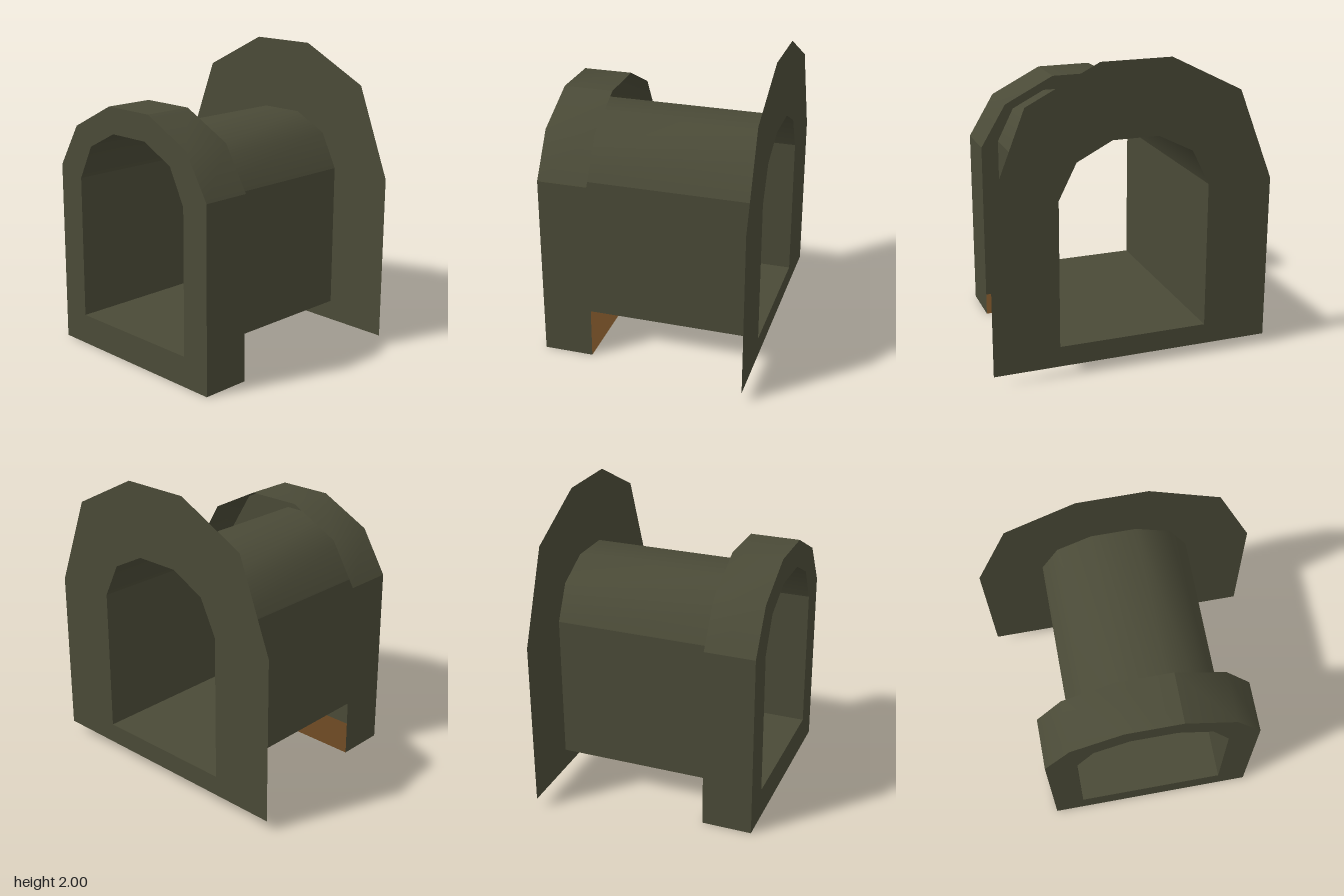
import * as THREE from 'three';

const BACK = -0.705, RIM = 0.375, FRONT = 0.705;

// Half outlines from the bottom corner up to the crown, on the +x side
const BORE = [[0.495, 0.205], [0.495, 1.17], [0.38, 1.4], [0.15, 1.517]];
const COLLAR = [[0.697, 0], [0.697, 1.23], [0.525, 1.517], [0.185, 1.69]];
const PLATE = [[0.928, 0.07], [0.928, 1.168], [0.697, 1.763], [0.23, 2]];

// Full outline, counterclockwise from the +x bottom corner
const mirrored = (half) => [...half, ...half.map(([x, y]) => [-x, y]).reverse()];

// Thin sheet swept along z over a run of outline points, smooth within the run
function sheet(points, z0, z1) {
  const positions = [], index = [];
  points.forEach(([x, y], i) => {
    positions.push(x, y, z0, x, y, z1);
    if (i < points.length - 1) {
      const a = i * 2;
      index.push(a, a + 2, a + 1, a + 1, a + 2, a + 3);
    }
  });
  const geometry = new THREE.BufferGeometry();
  geometry.setAttribute('position', new THREE.Float32BufferAttribute(positions, 3));
  geometry.setIndex(index);
  geometry.computeVertexNormals();
  return geometry;
}

// Flat arched face with the tunnel opening cut out
function archFace(half, z) {
  const toVectors = (h) => mirrored(h).map(([x, y]) => new THREE.Vector2(x, y));
  const shape = new THREE.Shape(toVectors(half));
  shape.holes.push(new THREE.Path(toVectors(BORE).reverse()));
  return new THREE.ShapeGeometry(shape).translate(0, 0, z);
}

export function createModel() {
  const olive = new THREE.MeshStandardMaterial({ color: 0x4a4a37, side: THREE.DoubleSide });
  olive.name = 'olive';
  const brown = new THREE.MeshStandardMaterial({ color: 0x64431f, side: THREE.DoubleSide });
  brown.name = 'brown';

  const model = new THREE.Group();
  model.name = 'archedTunnel';
  const add = (name, geometry, material = olive) => {
    const mesh = new THREE.Mesh(geometry, material);
    mesh.name = name;
    model.add(mesh);
  };

  // Tunnel: straight walls, rounded vault and floor
  const bore = mirrored(BORE);
  add('tunnelLeftWall', sheet(bore.slice(0, 2), BACK, FRONT));
  add('tunnelVault', sheet(bore.slice(1, 7), BACK, FRONT));
  add('tunnelRightWall', sheet(bore.slice(6, 8), BACK, FRONT));
  add('tunnelFloor', sheet([bore[7], bore[0]], BACK, FRONT));

  // Front collar: a shell open at the back, with a brown underside
  const collar = mirrored(COLLAR);
  add('collarLeftWall', sheet(collar.slice(0, 2), RIM, FRONT));
  add('collarLeftShoulder', sheet(collar.slice(1, 4), RIM, FRONT));
  add('collarCrown', sheet(collar.slice(3, 7), RIM, FRONT));
  add('collarRightWall', sheet(collar.slice(6, 8), RIM, FRONT));
  add('collarBase', sheet([collar[7], collar[0]], RIM, FRONT), brown);
  add('collarFace', archFace(COLLAR, FRONT));

  // Back plate, facing the rear
  const plate = archFace(PLATE, 0);
  plate.rotateY(Math.PI).translate(0, 0, BACK);
  add('backPlate', plate);

  return model;
}
